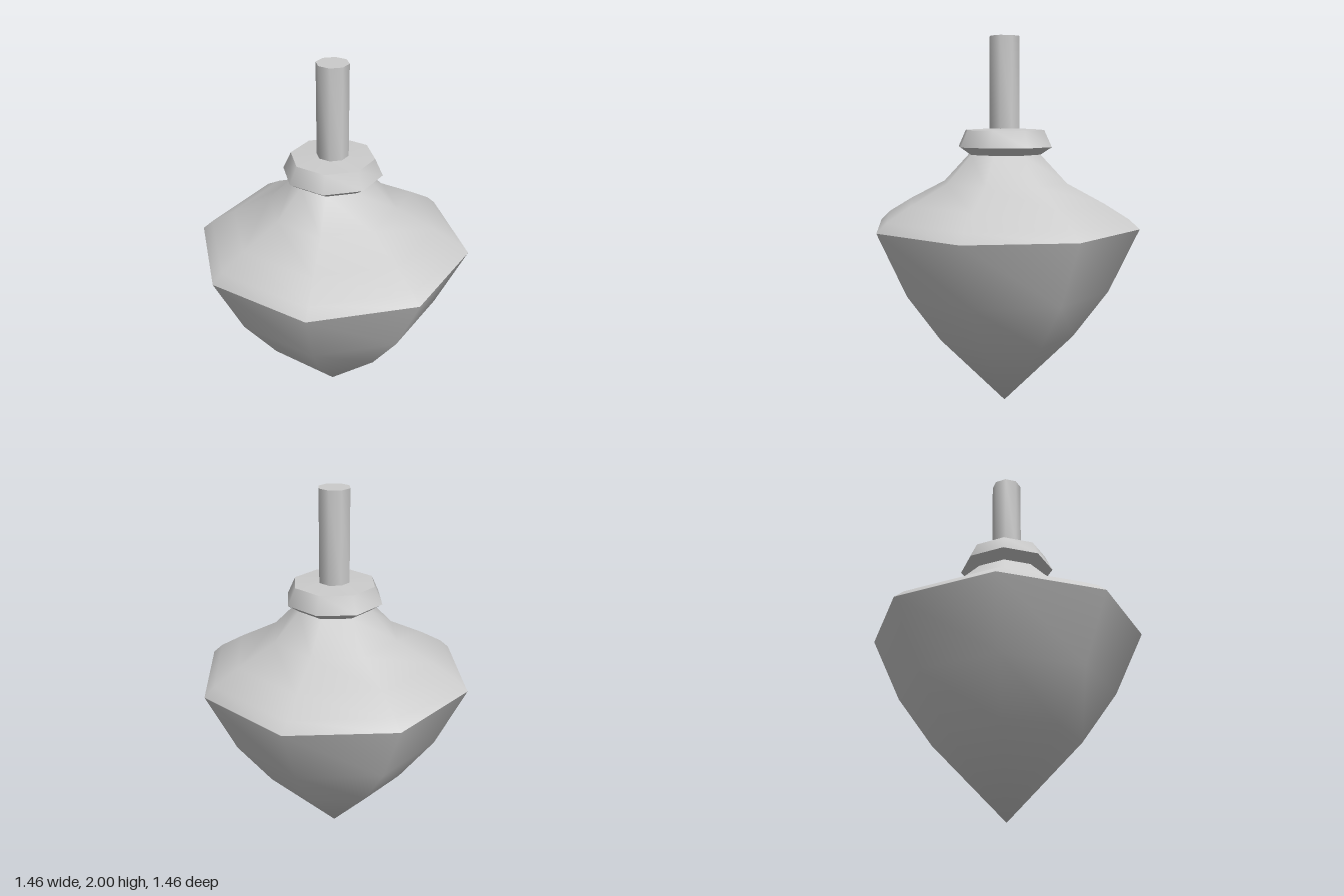
import * as THREE from 'three';
import { mergeVertices } from 'three/addons/utils/BufferGeometryUtils.js';

const SIDES = 8;

// Eight-sided turned section, smooth within itself and sharp at its ends
function section(name, profile, material) {
  const points = profile.map(([r, y]) => new THREE.Vector2(r, y));
  let geometry = new THREE.LatheGeometry(points, SIDES);
  geometry.deleteAttribute('uv');
  geometry.deleteAttribute('normal');
  geometry = mergeVertices(geometry, 1e-4);
  geometry.computeVertexNormals();
  const mesh = new THREE.Mesh(geometry, material);
  mesh.name = name;
  return mesh;
}

export function createModel() {
  const model = new THREE.Group();
  model.name = 'spinningTop';
  const material = new THREE.MeshStandardMaterial({ color: 0xcccccc });

  // Profiles run from bottom to top as [radius, height]
  const parts = {
    bowl: [[0, 0], [0.387, 0.4], [0.575, 0.66], [0.732, 1]],
    shoulder: [[0.732, 1], [0.677, 1.05], [0.547, 1.127], [0.345, 1.23], [0.2, 1.38]],
    collarUnderside: [[0.2, 1.38], [0.261, 1.42]],
    collarBand: [[0.261, 1.42], [0.219, 1.51]],
    collarTop: [[0.219, 1.51], [0.083, 1.517]],
    stem: [[0.083, 1.517], [0.083, 2]],
    stemCap: [[0.083, 2], [0, 2]],
  };
  for (const [name, profile] of Object.entries(parts)) {
    model.add(section(name, profile, material));
  }
  return model;
}
